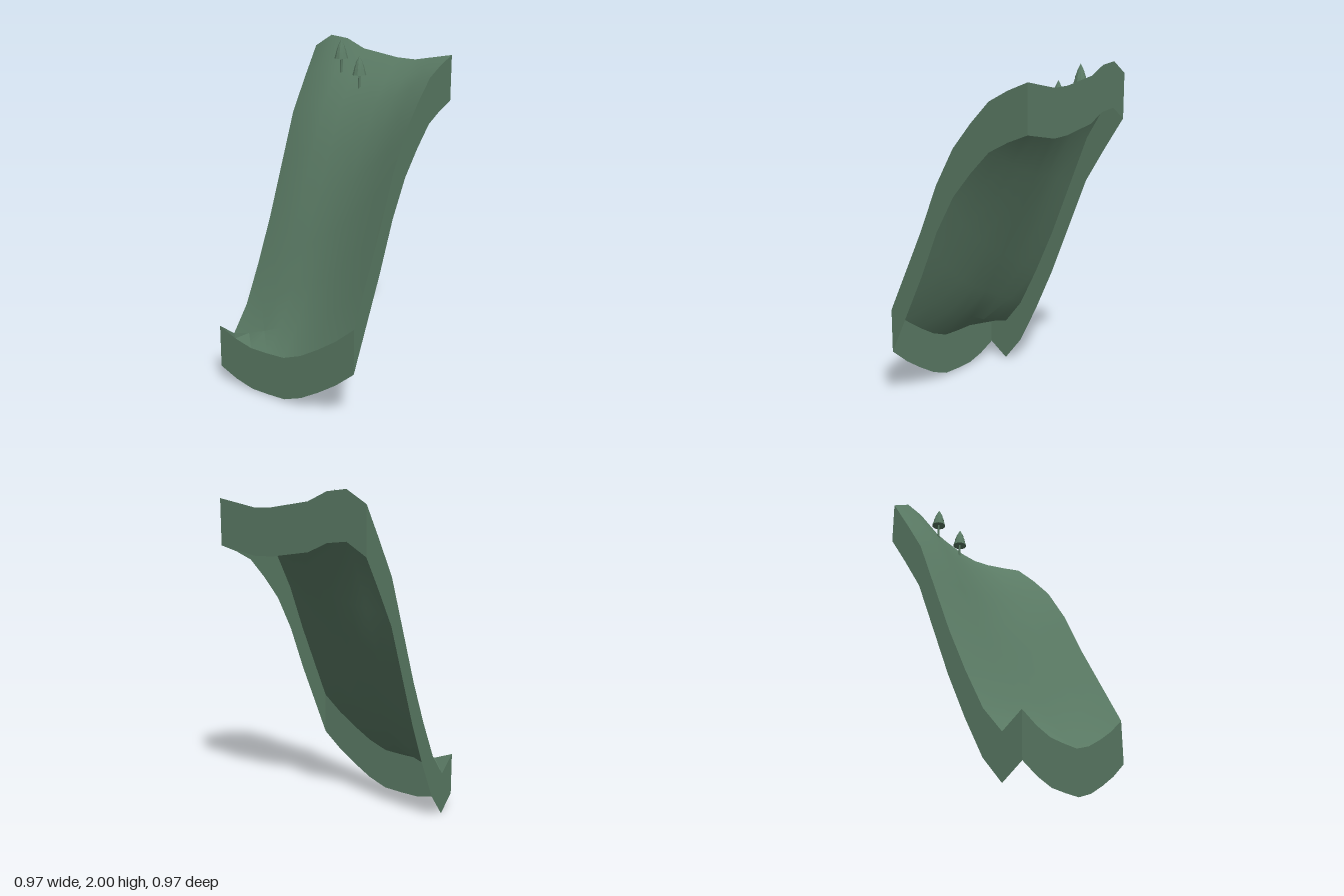
import * as THREE from 'three';
import { toCreasedNormals } from 'three/addons/utils/BufferGeometryUtils.js';

const HALF = 0.484, N = 8, SKIRT = 0.26;

// Edge heights of the tile: back and front run -x to +x, left and right run -z to +z
const BACK = [0.35, 0.26, 0.41, 0.65, 0.92, 1.23, 1.54, 1.74, 1.93];
const FRONT = [0.57, 0.82, 1.07, 1.35, 1.56, 1.70, 1.82, 1.88, 1.925];
const LEFT = [0.35, 0.30, 0.27, 0.27, 0.275, 0.32, 0.39, 0.47, 0.57];
const RIGHT = [1.93, 2.0, 1.985, 1.93, 1.91, 1.89, 1.885, 1.905, 1.925];

const coord = (i) => -HALF + (2 * HALF * i) / N;
const mix = THREE.MathUtils.lerp;

// Ground height at a grid point: blend of the four edges plus a low mound by the gully
function height(i, j) {
  const u = i / N, v = j / N;
  const corners = mix(mix(BACK[0], BACK[N], u), mix(FRONT[0], FRONT[N], u), v);
  let h = mix(BACK[i], FRONT[i], v) + mix(LEFT[j], RIGHT[j], u) - corners;
  if (i > 0 && i < N && j > 0 && j < N) {
    const dx = coord(i) + 0.363, dz = coord(j) + 0.12;
    h += 0.06 * Math.exp(-(dx * dx + dz * dz) / 0.06);
  }
  return h;
}

const point = (i, j) => new THREE.Vector3(coord(i), height(i, j), coord(j));

// Hillside surface
function makeGround() {
  const geo = new THREE.PlaneGeometry(2 * HALF, 2 * HALF, N, N).rotateX(-Math.PI / 2);
  const pos = geo.attributes.position;
  for (let j = 0; j <= N; j++) {
    for (let i = 0; i <= N; i++) pos.setY(j * (N + 1) + i, height(i, j));
  }
  return toCreasedNormals(geo, 0.47);
}

// Vertical wall hanging below one edge
function makeSkirt(edge) {
  const verts = [], index = [];
  edge.forEach((p, k) => {
    verts.push(p.x, p.y, p.z, p.x, p.y - SKIRT, p.z);
    if (k < N) {
      const a = 2 * k;
      index.push(a, a + 1, a + 3, a, a + 3, a + 2);
    }
  });
  const geo = new THREE.BufferGeometry();
  geo.setAttribute('position', new THREE.Float32BufferAttribute(verts, 3));
  geo.setIndex(index);
  geo.computeVertexNormals();
  return geo;
}

export function createModel() {
  const green = new THREE.MeshStandardMaterial({ color: 0x5a7a64, side: THREE.DoubleSide });
  green.name = 'mossGreen';

  const model = new THREE.Group();
  model.name = 'hillside';
  const add = (parent, geo, name) => {
    const mesh = new THREE.Mesh(geo, green);
    mesh.name = name;
    parent.add(mesh);
    return mesh;
  };

  add(model, makeGround(), 'ground');

  // Four walls, each followed so that its outside faces outwards
  const steps = [...Array(N + 1).keys()];
  add(model, makeSkirt(steps.map((k) => point(k, N))), 'frontWall');
  add(model, makeSkirt(steps.map((k) => point(N, N - k))), 'rightEdgeWall');
  add(model, makeSkirt(steps.map((k) => point(N - k, 0))), 'backWall');
  add(model, makeSkirt(steps.map((k) => point(0, k))), 'leftEdgeWall');

  // Pine trees: a thin trunk under a crown of slightly stepped tiers
  const crownProfile = [
    [0, 0.002], [0.042, 0], [0.030, 0.040], [0.033, 0.038],
    [0.020, 0.072], [0.023, 0.070], [0, 0.115],
  ].map(([r, y]) => new THREE.Vector2(r, y));
  const crownGeo = toCreasedNormals(new THREE.LatheGeometry(crownProfile, 10), 0.5);
  const trunkGeo = new THREE.CylinderGeometry(0.006, 0.008, 0.09, 8).translate(0, -0.04, 0);

  for (const [x, tip, z] of [[0.362, 1.99, -0.203], [0.321, 1.905, -0.042]]) {
    const tree = new THREE.Group();
    tree.name = 'tree';
    tree.position.set(x, tip - 0.115, z);
    add(tree, crownGeo, 'crown');
    add(tree, trunkGeo, 'trunk');
    model.add(tree);
  }
  return model;
}
